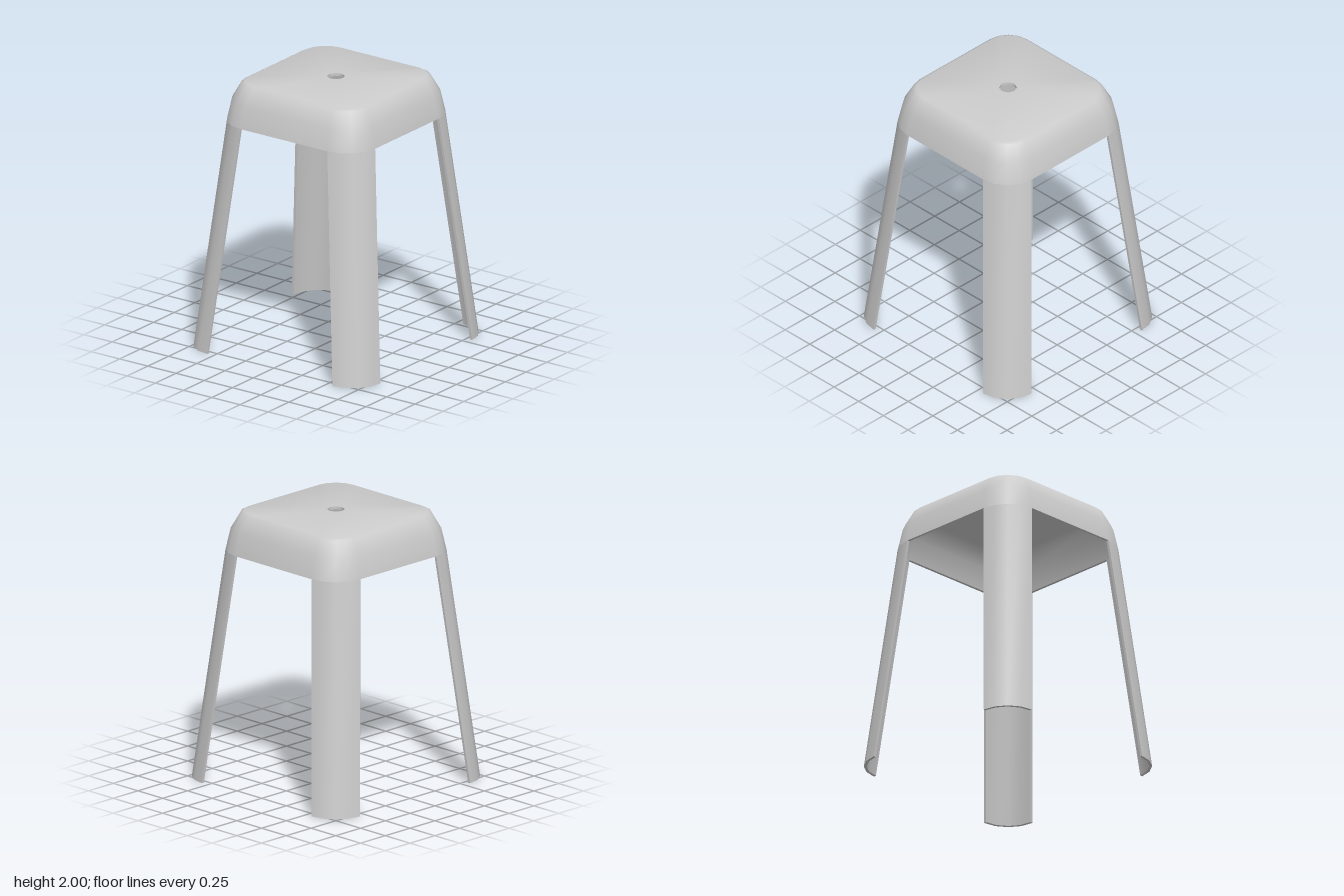
import * as THREE from 'three';
import { toCreasedNormals } from 'three/addons/utils/BufferGeometryUtils.js';

const WALL = 0.02; // shell thickness
const STEPS = 4; // segments per rounded corner

// Skin closed rings of [x, y, z] points, skipping collapsed triangles
function loft(rings) {
  const n = rings[0].length;
  const position = [];
  const same = (a, b) => Math.hypot(a[0] - b[0], a[1] - b[1], a[2] - b[2]) < 1e-5;
  const face = (a, b, c) => {
    if (!same(a, b) && !same(b, c) && !same(a, c)) position.push(...a, ...b, ...c);
  };
  for (let r = 0; r < rings.length - 1; r++) {
    for (let i = 0; i < n; i++) {
      const j = (i + 1) % n;
      face(rings[r][i], rings[r + 1][i], rings[r][j]);
      face(rings[r][j], rings[r + 1][i], rings[r + 1][j]);
    }
  }
  const geometry = new THREE.BufferGeometry();
  geometry.setAttribute('position', new THREE.Float32BufferAttribute(position, 3));
  return toCreasedNormals(geometry, 0.9);
}

// One rounded corner: quarter arc about (c, c), turned by quarter turns
function cornerArc(c, radius, y, quarter = 0) {
  const points = [];
  const turn = quarter * Math.PI / 2;
  for (let i = 0; i <= STEPS; i++) {
    const a = i / STEPS * Math.PI / 2;
    const x = c + radius * Math.cos(a);
    const z = c + radius * Math.sin(a);
    points.push([
      x * Math.cos(turn) - z * Math.sin(turn), y,
      x * Math.sin(turn) + z * Math.cos(turn),
    ]);
  }
  return points;
}

const roundedSquare = (half, c, y) =>
  [0, 1, 2, 3].flatMap((q) => cornerArc(c, half - c, y, q));

// Octagonal hole with the same point count as a rounded square
const holeRing = (radius, y) =>
  [0, 1, 2, 3].flatMap((q) => cornerArc(0, radius, y, q).map(([x, h, z], i) => {
    const k = i % 2 ? Math.cos(Math.PI / 8) : 1;
    return [x * k, h, z * k];
  }));

// Seat: skirt, rounded shoulder and gently raised top, with an inner skin
function seatGeometry() {
  const profile = [
    [0.63, 0.385, 1.7],
    [0.597, 0.375, 1.86],
    [0.538, 0.352, 1.978],
    [0.515, 0.345, 1.99],
  ];
  const outer = profile.map(([half, c, y]) => roundedSquare(half, c, y));
  const inner = profile.map(([half, c, y], i) =>
    roundedSquare(half - WALL, c, i < 2 ? y : y - WALL * 0.8));
  return loft([
    ...outer, holeRing(0.064, 2), holeRing(0.064, 2 - WALL),
    ...inner.reverse(), outer[0],
  ]);
}

// Leg: curved channel splaying outwards, closed underneath
function legGeometry() {
  const radius = 0.245;
  const section = (c, y) => [
    ...cornerArc(c, radius, y),
    ...cornerArc(c, radius - WALL, y).reverse(),
  ];
  const foot = cornerArc(0.555, radius, 0);
  return loft([
    [...foot, ...[...foot].reverse()],
    section(0.555, 0),
    section(0.385, 1.7),
  ]);
}

export function createModel() {
  const group = new THREE.Group();
  group.name = 'stool';
  const material = new THREE.MeshStandardMaterial({ color: 0xcccccc, side: THREE.DoubleSide });

  const seat = new THREE.Mesh(seatGeometry(), material);
  seat.name = 'seat';
  group.add(seat);

  const legShape = legGeometry();
  ['frontLeftLeg', 'backLeftLeg', 'backRightLeg', 'frontRightLeg'].forEach((name, i) => {
    const leg = new THREE.Mesh(legShape, material);
    leg.name = name;
    leg.rotation.y = i * Math.PI / 2;
    group.add(leg);
  });
  return group;
}
